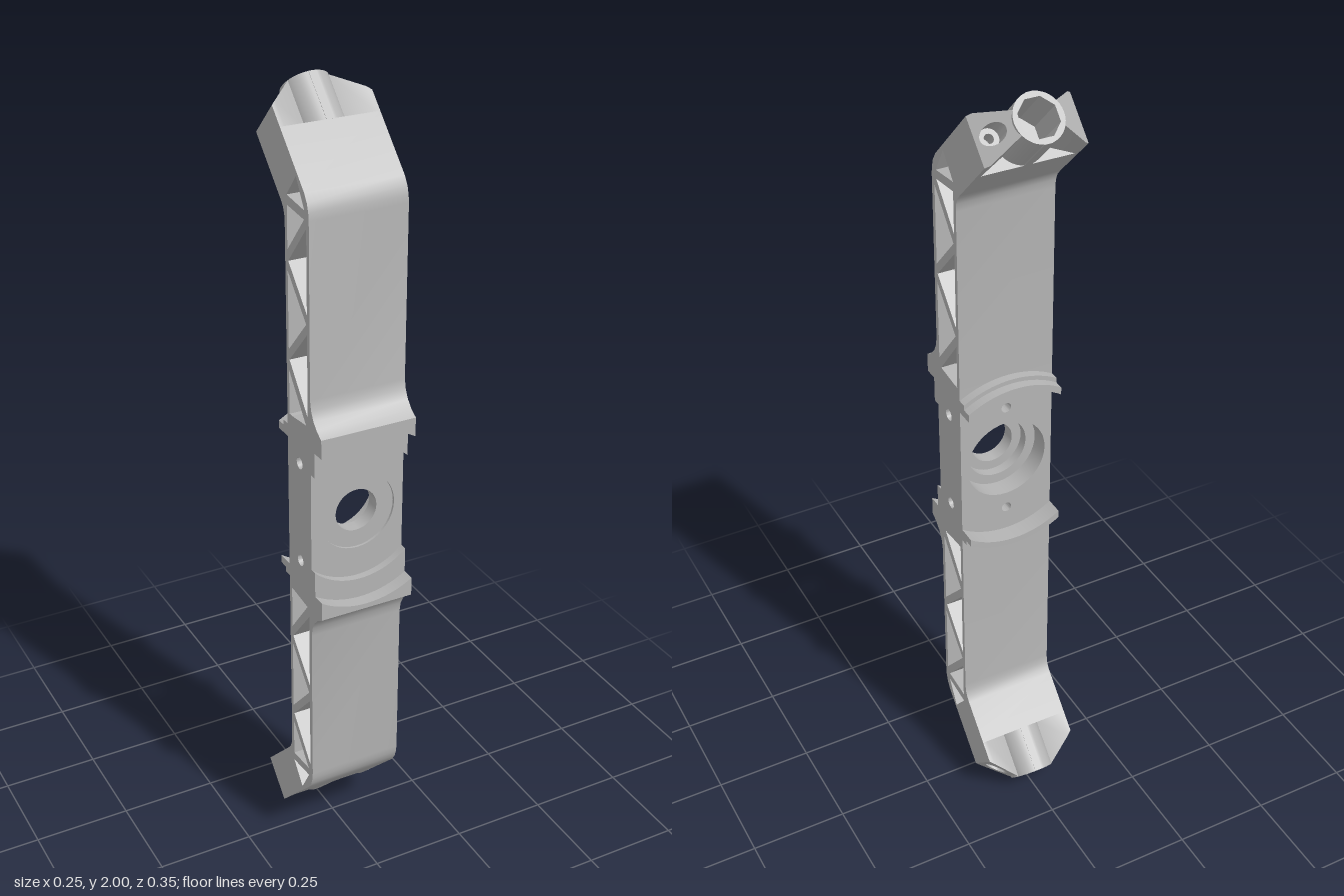
import * as THREE from 'three';
import { toCreasedNormals } from 'three/addons/utils/BufferGeometryUtils.js';

const HALF = 0.123; // half width of the bracket
const grey = new THREE.MeshStandardMaterial({ color: 0xb4b4b4 });
grey.name = 'metalGrey';

const toShape = pts => new THREE.Shape(pts.map(p => new THREE.Vector2(...p)));

function circle(x, y, r, sides = 40, turn = 0) {
  const pts = [];
  for (let i = 0; i < sides; i++) {
    const a = turn + (i / sides) * Math.PI * 2;
    pts.push(new THREE.Vector2(x + r * Math.cos(a), y + r * Math.sin(a)));
  }
  return new THREE.Path(pts);
}

function extrude(shape, depth, holes = []) {
  shape.holes.push(...holes);
  return new THREE.ExtrudeGeometry(shape, { depth, bevelEnabled: false });
}

function add(parent, name, geometry) {
  const mesh = new THREE.Mesh(toCreasedNormals(geometry, 0.5), grey);
  mesh.name = name;
  parent.add(mesh);
  return mesh;
}

// Extrude a (z, y) side profile across x
function across(shape, x0, x1, holes) {
  return extrude(shape, x1 - x0, holes).rotateY(-Math.PI / 2).translate(x1, 0, 0);
}

// Extrude an (x, y) shape from z0 to z1
const along = (shape, z0, z1, holes) => extrude(shape, z1 - z0, holes).translate(0, 0, z0);

const rect = (x, y) => toShape([[-x, -y], [x, -y], [x, y], [-x, y]]);

// Points of an arc about the hub centre, cut off at the bracket's sides
function arc(r, n = 24) {
  return Array.from({ length: n + 1 }, (_, i) => {
    const x = HALF * (1 - (2 * i) / n);
    return [x, Math.sqrt(r * r - x * x)];
  });
}
const band = (rIn, rOut) => toShape([...arc(rOut), ...arc(rIn).reverse()]);

// Triangle moved inwards on all sides, leaving struts between neighbours
function strutHole(pts, d) {
  const [a, b, c] = pts.map(p => new THREE.Vector2(...p));
  const la = b.distanceTo(c), lb = c.distanceTo(a), lc = a.distanceTo(b);
  const sum = la + lb + lc;
  const centre = new THREE.Vector2()
    .addScaledVector(a, la / sum).addScaledVector(b, lb / sum).addScaledVector(c, lc / sum);
  const area = Math.abs((b.x - a.x) * (c.y - a.y) - (b.y - a.y) * (c.x - a.x)) / 2;
  const k = d / ((2 * area) / sum);
  return new THREE.Path([a, b, c].map(p => p.clone().lerp(centre, k)));
}

function makeTip(holeSide) {
  const tip = new THREE.Group();
  tip.name = 'tip';
  const len = 0.12, t = 0.058;
  // Round socket with an eight-sided bore
  const outer = new THREE.Shape(circle(0, 0, t, 40).getPoints());
  add(tip, 'socket', extrude(outer, len, [circle(0, 0, 0.0475, 8, Math.PI / 8)]));
  // Centre ribs on both faces
  for (const s of [-1, 1]) {
    add(tip, 'socketRib', new THREE.BoxGeometry(0.02, 0.006, len).translate(0, s * (t - 0.003), len / 2));
  }
  // Side wings with scooped faces and a slanted end
  for (const s of [-1, 1]) {
    const wing = toShape([[0.05, -0.028], [0.112, -t], [HALF, -t], [HALF, t], [0.112, t], [0.05, 0.028]]
      .map(([x, v]) => [s * x, v]));
    const holes = s === holeSide ? [circle(s * 0.092, 0, 0.023, 28)] : [];
    const geo = extrude(wing, len, holes);
    const p = geo.attributes.position;
    for (let i = 0; i < p.count; i++) {
      if (p.getZ(i) > 0.01) p.setZ(i, len - (Math.abs(p.getX(i)) - 0.05) * 0.92);
    }
    geo.computeVertexNormals();
    add(tip, 'wing', geo);
    if (holes.length) {
      add(tip, 'boltSeat', new THREE.RingGeometry(0.011, 0.0235, 28).translate(s * 0.092, 0, 0.055));
    }
  }
  tip.position.set(0, 0.874, -0.048);
  tip.rotation.x = -Math.PI * 0.75;
  return tip;
}

function makeArm(holeSide) {
  const arm = new THREE.Group();
  arm.name = 'arm';
  // Bent beam with triangular openings
  const profile = toShape([
    [0.01, 0.235], [0.18, 0.235], [0.18, 0.243], [0.158, 0.257], [0.142, 0.274], [0.131, 0.295], [0.126, 0.32],
    [0.126, 0.745], [0.124, 0.763], [0.118, 0.783], [0.105, 0.803], [-0.007, 0.915],
    [-0.089, 0.833], [-0.01, 0.754], [0.001, 0.741], [0.008, 0.725], [0.01, 0.705]]);
  const f = 0.123, b = 0.012;
  const holes = [
    [[f, 0.752], [0.068, 0.845], [b - 0.01, 0.765]],
    [[b, 0.76], [f, 0.75], [b, 0.62]],
    [[f, 0.75], [b, 0.62], [f, 0.5]],
    [[b, 0.62], [f, 0.5], [b, 0.38]],
    [[f, 0.5], [b, 0.38], [f, 0.245]],
    [[b, 0.38], [f, 0.24], [b, 0.228]],
  ].map(tri => strutHole(tri, 0.0095));
  add(arm, 'trussBeam', across(profile, -HALF, HALF, holes));
  // Front flange and stepped ledge, both curved about the hub
  const flange = toShape([[-HALF, 0.24], ...arc(0.23).reverse(), [HALF, 0.24]]);
  add(arm, 'frontFlange', along(flange, 0.12, 0.18));
  add(arm, 'frontLedge', along(band(0.178, 0.235), 0.12, 0.146));
  // Curved lip at the back
  add(arm, 'backLip', along(band(0.215, 0.232), -0.036, 0.02));
  add(arm, 'backLipRoot', along(band(0.225, 0.243), -0.012, 0.02));
  arm.add(makeTip(holeSide));
  return arm;
}

function makeHub() {
  const hub = new THREE.Group();
  hub.name = 'hub';
  const inner = HALF - 0.015, h = 0.24;
  // Stepped bore, one plate for each diameter
  const bolts = () => [circle(0, 0.15, 0.013, 20), circle(0, -0.15, 0.013, 20)];
  add(hub, 'backPlate', along(rect(inner, h), 0.01, 0.06, [circle(0, 0, 0.106), ...bolts()]));
  add(hub, 'middlePlate', along(rect(inner, h), 0.06, 0.085, [circle(0, 0, 0.08)]));
  add(hub, 'frontPlate', along(rect(inner, h), 0.085, 0.121, [circle(0, 0, 0.055)]));
  add(hub, 'frontFace', along(rect(inner, h), 0.121, 0.127, [circle(0, 0, 0.1)]));
  // Side cheeks with bolt holes
  const cheek = () => toShape([[0.01, -h], [0.127, -h], [0.127, h], [0.01, h]]);
  for (const [x0, x1] of [[-HALF, -inner], [inner, HALF]]) {
    const holes = [0.133, -0.133].map(y => circle(0.07, y, 0.015, 20));
    add(hub, 'sideCheek', across(cheek(), x0, x1, holes));
  }
  return hub;
}

export function createModel() {
  const model = new THREE.Group();
  model.name = 'bracket';
  const upper = makeArm(1);
  const lower = makeArm(-1);
  lower.rotation.z = Math.PI;
  for (const part of [makeHub(), upper, lower]) {
    part.position.y = 1;
    model.add(part);
  }
  return model;
}
